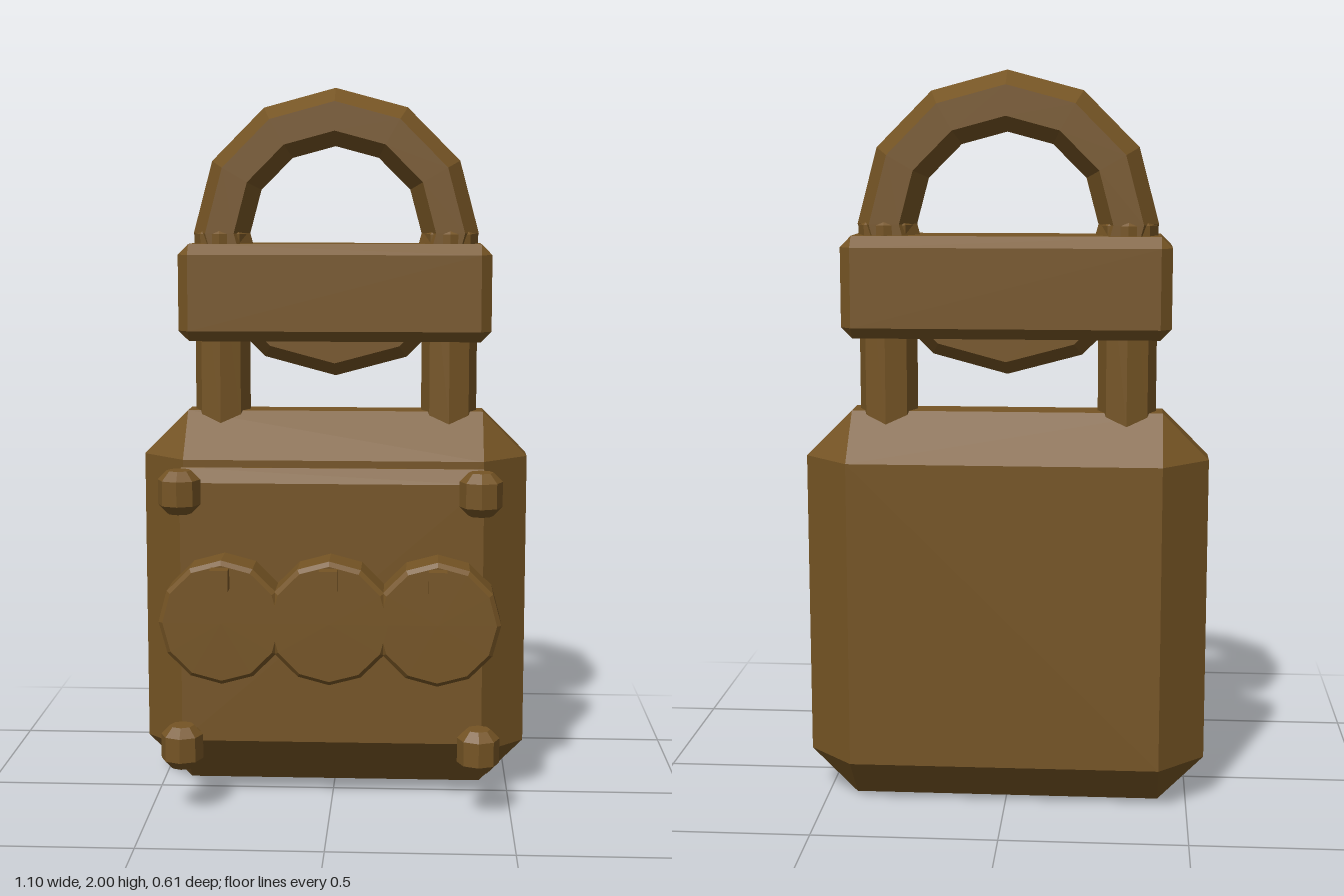
import * as THREE from 'three';
import { ConvexGeometry } from 'three/addons/geometries/ConvexGeometry.js';

// Box with every edge bevelled by c and triangular corner facets
function chamferBox(w, h, d, c) {
  const points = [];
  for (const sx of [-1, 1]) for (const sy of [-1, 1]) for (const sz of [-1, 1]) {
    const x = w / 2, y = h / 2, z = d / 2;
    points.push(
      new THREE.Vector3(sx * x, sy * (y - c), sz * (z - c)),
      new THREE.Vector3(sx * (x - c), sy * y, sz * (z - c)),
      new THREE.Vector3(sx * (x - c), sy * (y - c), sz * z));
  }
  return new ConvexGeometry(points);
}

// Upright bevelled cylinder centred on the origin
function chamferCylinder(r, h, c, sides) {
  const profile = [[0, -h / 2], [r - c, -h / 2], [r, -h / 2 + c], [r, h / 2 - c], [r - c, h / 2], [0, h / 2]];
  return new THREE.LatheGeometry(profile.map(([x, y]) => new THREE.Vector2(x, y)), sides);
}

export function createModel() {
  const group = new THREE.Group();
  const brass = new THREE.MeshStandardMaterial({ color: 0x755424, flatShading: true });
  brass.name = 'aged brass';

  const add = (name, geometry, x, y, z) => {
    const mesh = new THREE.Mesh(geometry, brass);
    mesh.name = name;
    mesh.position.set(x, y, z);
    group.add(mesh);
    return mesh;
  };

  const bodyZ = -0.132;

  // Body and front plate
  add('body', chamferBox(1.096, 1.09, 0.344, 0.126), 0, 0.545, bodyZ);
  add('frontPlate', chamferBox(0.915, 0.81, 0.08, 0.038), 0, 0.547, 0.097);

  // Shackle ring, its two posts and the crossbar
  add('shackle', new THREE.TorusGeometry(0.325, 0.081, 6, 12), 0, 1.594, bodyZ);
  add('crossbar', chamferBox(0.884, 0.274, 0.226, 0.03), 0, 1.428, bodyZ);
  for (const side of [-1, 1]) {
    add(side > 0 ? 'leftPost' : 'rightPost', chamferCylinder(0.079, 0.56, 0.012, 8), side * 0.325, 1.324, bodyZ);
  }

  // Combination dials with index marks
  const dial = chamferCylinder(0.172, 0.147, 0.012, 12);
  dial.rotateX(Math.PI / 2);
  const mark = new THREE.BoxGeometry(0.05, 0.058, 0.04);
  for (const i of [-1, 0, 1]) {
    add('dial', dial, i * 0.294, 0.548, 0.184);
    add('dialMark', mark, i * 0.294, 0.675, 0.285);
  }

  // Corner rivets
  const rivet = chamferCylinder(0.058, 0.118, 0.025, 8);
  for (const x of [-0.408, 0.408]) for (const y of [0.192, 0.904]) {
    add('rivet', rivet, x, y, 0.222);
  }

  return group;
}
